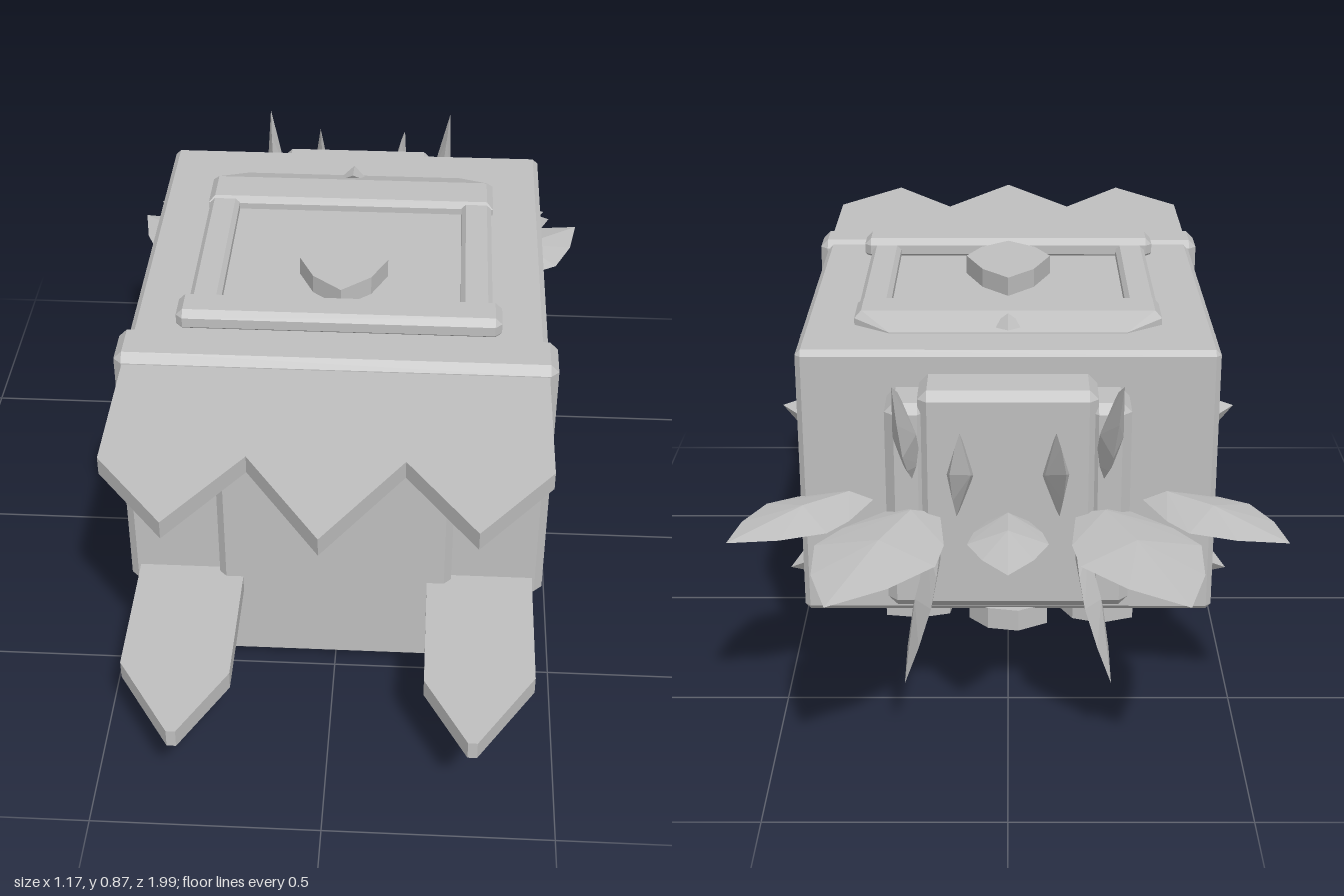
import * as THREE from 'three';
import { ConvexGeometry } from 'three/addons/geometries/ConvexGeometry.js';

const V = (x, y, z) => new THREE.Vector3(x, y, z);

export function createModel() {
  const stone = new THREE.MeshStandardMaterial({ color: 0xbfbfbf });
  stone.name = 'stone grey';
  const root = new THREE.Group();
  root.name = 'stoneBox';

  const add = (name, geometry) => {
    const mesh = new THREE.Mesh(geometry, stone);
    mesh.name = name;
    root.add(mesh);
    return mesh;
  };
  const hull = (name, points) => add(name, new ConvexGeometry(points));

  // Box between two corners with chamfered edges
  const block = (name, [x0, x1], [y0, y1], [z0, z1], b = 0.015) => {
    const pts = [];
    for (const [x, i] of [[x0, 1], [x1, -1]])
      for (const [y, j] of [[y0, 1], [y1, -1]])
        for (const [z, k] of [[z0, 1], [z1, -1]])
          pts.push(V(x, y + j * b, z + k * b), V(x + i * b, y, z + k * b), V(x + i * b, y + j * b, z));
    return hull(name, pts);
  };

  // Flat slab with an outline given in x and z
  const slab = (name, outline, y0, y1) => {
    const shape = new THREE.Shape(outline.map(([x, z]) => new THREE.Vector2(x, -z)));
    const g = new THREE.ExtrudeGeometry(shape, { depth: y1 - y0, bevelEnabled: false });
    g.rotateX(-Math.PI / 2).translate(0, y0, 0);
    return add(name, g);
  };

  // Pointed leaf with a raised ridge on both faces
  const leaf = (name, base, tip, side, width, thick) => {
    const axis = tip.clone().sub(base);
    const across = side.clone().addScaledVector(axis, -side.dot(axis) / axis.lengthSq()).normalize();
    const normal = axis.clone().cross(across).normalize();
    const at = (t, w, n) => base.clone().addScaledVector(axis, t).addScaledVector(across, w).addScaledVector(normal, n);
    const pts = [tip];
    for (const s of [-1, 1])
      pts.push(at(0, s * width * 0.35, 0), at(0.3, s * width * 0.85, 0), at(0.5, s * width, 0),
        at(0.76, s * width * 0.62, 0), at(0.1, 0, s * thick * 0.8), at(0.45, 0, s * thick));
    return hull(name, pts);
  };

  // Main body, front collar and door with its foot
  block('body', [-0.455, 0.455], [0.215, 0.83], [-0.48, 0.40], 0.012);
  block('frontCollar', [-0.475, 0.475], [0.195, 0.84], [0.33, 0.45], 0.018);
  block('frontPanel', [-0.265, 0.265], [0.015, 0.76], [0.38, 0.48], 0.016);
  hull('frontFoot', [-1, 1].flatMap(s => [
    V(s * 0.265, 0.22, 0.24), V(s * 0.265, 0.035, 0.24), V(s * 0.225, 0.003, 0.265),
    V(s * 0.225, 0.003, 0.44), V(s * 0.265, 0.025, 0.46), V(s * 0.265, 0.22, 0.46)]));

  // Jagged front awning
  slab('awning', [[-0.455, 0.42], [-0.455, 0.77], [-0.305, 0.96], [-0.16, 0.75], [0, 0.993],
    [0.16, 0.75], [0.305, 0.96], [0.455, 0.77], [0.455, 0.42]], 0.78, 0.82);

  // Framed emblem panel on the roof
  block('roofFrontBar', [-0.355, 0.355], [0.82, 0.872], [0.235, 0.325]);
  hull('roofBackBar', [-1, 1].flatMap(s => [
    V(s * 0.34, 0.82, -0.19), V(s * 0.34, 0.845, -0.19), V(s * 0.325, 0.86, -0.2),
    V(s * 0.325, 0.86, -0.29), V(s * 0.34, 0.845, -0.3), V(s * 0.34, 0.82, -0.3),
    V(s * 0.26, 0.832, -0.36), V(s * 0.26, 0.82, -0.36)]));
  slab('roofDrop', [[0, -0.09], [0.06, -0.02], [0.1, 0.09], [0.065, 0.165], [0, 0.22],
    [-0.065, 0.165], [-0.1, 0.09], [-0.06, -0.02]], 0.82, 0.874);
  hull('roofThorn', [V(-0.04, 0.835, -0.325), V(0.04, 0.835, -0.325), V(0, 0.86, -0.31), V(0, 0.845, -0.385)]);

  // Back plate
  block('backPlate', [-0.19, 0.19], [0.28, 0.78], [-0.6, -0.46], 0.02);

  // Underside frame
  block('undersideFrontBar', [-0.355, 0.355], [0.145, 0.22], [0.23, 0.33], 0.022);

  // Parts repeated on both sides
  for (const s of [-1, 1]) {
    const span = (a, b) => (s > 0 ? [a, b] : [-b, -a]);
    slab('lowerAwning', [[0.21, 0.4], [0.21, 0.79], [0.305, 0.965], [0.325, 0.965], [0.45, 0.77], [0.45, 0.4]]
      .map(([x, z]) => [s * x, z]), 0.21, 0.253);
    block('roofSideRail', span(0.265, 0.335), [0.82, 0.857], [-0.2, 0.245], 0.01);
    block('backPillar', span(0.17, 0.26), [0.28, 0.75], [-0.595, -0.46], 0.02);
    block('undersideRail', span(0.265, 0.345), [0.15, 0.22], [-0.07, 0.24], 0.018);
    block('undersideChunk', span(0.25, 0.345), [0.148, 0.22], [-0.2, -0.08], 0.02);

    // Fan of leaves behind the body
    leaf('longLeaf', V(s * 0.19, 0.5, -0.56), V(s * 0.355, 0.49, -1), V(1, 0, 0), 0.135, 0.025);
    leaf('outerLeaf', V(s * 0.32, 0.49, -0.46), V(s * 0.585, 0.49, -0.71), V(1, 0, 1), 0.105, 0.025);
    leaf('upperLeaf', V(s * 0.09, 0.58, -0.56), V(s * 0.115, 0.7, -0.84), V(0, 1, 0), 0.085, 0.025);
    leaf('topLeaf', V(s * 0.2, 0.58, -0.55), V(s * 0.235, 0.83, -0.695), V(0, 0.4, 1), 0.07, 0.025);
    leaf('lowerLeaf', V(s * 0.15, 0.44, -0.56), V(s * 0.22, 0.165, -0.72), V(0, 0.5, 1), 0.075, 0.02);

    // Small thorns on the side walls
    for (const [y, z, size] of [[0.665, -0.42, 0.035], [0.315, -0.42, 0.035], [0.45, 0.18, 0.012], [0.79, -0.27, 0.01]])
      hull('sideThorn', [V(s * 0.45, y + size, z), V(s * 0.45, y - size, z + size * 0.3),
        V(s * 0.45, y, z - size * 0.4), V(s * (0.455 + size), y + Math.sign(y - 0.5) * size * 0.6, z)]);
  }
  leaf('centreLeaf', V(0, 0.49, -0.57), V(0, 0.49, -0.86), V(1, 0, 0), 0.085, 0.025);

  // Loose shards under the body: x, z, radius, underside height, turn
  const shards = [[0, -0.44, 0.09, 0.17, 0.2], [0.37, -0.3, 0.1, 0.17, 1], [-0.37, -0.3, 0.1, 0.17, 2.1],
    [0.08, -0.17, 0.12, 0.132, 0.6], [-0.1, -0.1, 0.1, 0.14, 1.7], [0, 0.08, 0.11, 0.165, 0.9],
    [0.2, -0.38, 0.09, 0.17, 2.6], [-0.2, -0.4, 0.09, 0.17, 0.4], [0.38, -0.02, 0.06, 0.17, 1.2],
    [-0.38, -0.02, 0.06, 0.17, 1.9]];
  for (const [x, z, r, y, turn] of shards) {
    const outline = [1, 0.75, 0.8, 1, 0.7, 0.85].map((k, i) => {
      const a = turn - i * Math.PI / 3;
      return [x + Math.cos(a) * r * k, z + Math.sin(a) * r * k * 0.75];
    });
    slab('undersideShard', outline, y, 0.22);
  }
  hull('undersideThorn', [V(-0.035, 0.2, -0.25), V(0.035, 0.2, -0.25), V(0, 0.2, -0.31), V(0, 0.08, -0.28)]);

  return root;
}
